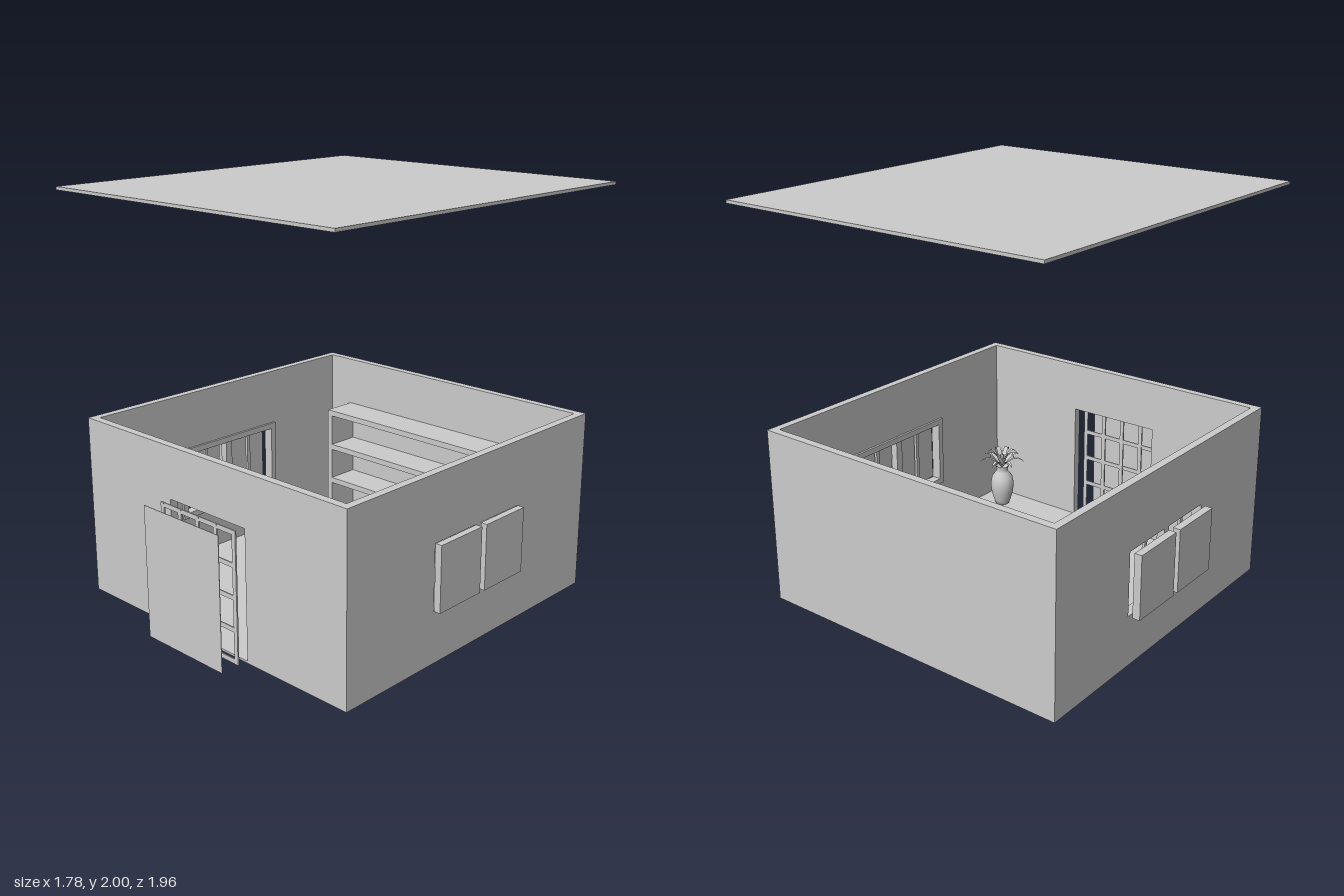
import * as THREE from 'three';

const material = new THREE.MeshStandardMaterial({ color: 0xcccccc });
const thin = new THREE.MeshStandardMaterial({ color: 0xcccccc, side: THREE.DoubleSide });

// Room extents
const X0 = -0.835, X1 = 0.855, Z0 = -0.865, Z1 = 0.83, H = 0.895, T = 0.04;
const WIN = { z0: -0.325, z1: 0.275, y0: 0.255, y1: 0.575 };
const DOOR = { x0: -0.235, x1: 0.26, y0: 0.01, y1: 0.64 };

// Box given by its minimum and maximum along each axis
function box(parent, name, x0, x1, y0, y1, z0, z1) {
  const mesh = new THREE.Mesh(new THREE.BoxGeometry(x1 - x0, y1 - y0, z1 - z0), material);
  mesh.position.set((x0 + x1) / 2, (y0 + y1) / 2, (z0 + z1) / 2);
  mesh.name = name;
  parent.add(mesh);
  return mesh;
}

function rectangle(Type, a0, a1, b0, b1) {
  const r = new Type();
  r.moveTo(a0, b0);
  r.lineTo(a1, b0);
  r.lineTo(a1, b1);
  r.lineTo(a0, b1);
  r.closePath();
  return r;
}

// Upright wall with one rectangular opening, drawn in x/y and extruded along z
function openWall(name, a0, a1, opening) {
  const shape = rectangle(THREE.Shape, a0, a1, 0, H);
  shape.holes.push(rectangle(THREE.Path, ...opening));
  const geometry = new THREE.ExtrudeGeometry(shape, { depth: T, bevelEnabled: false });
  const mesh = new THREE.Mesh(geometry, material);
  mesh.name = name;
  return mesh;
}

function buildRoom() {
  const room = new THREE.Group();
  room.name = 'room';
  box(room, 'floor', X0, X1, 0, 0.01, Z0, Z1);
  box(room, 'backWall', X0, X1, 0, H, Z0, Z0 + T);
  const front = openWall('frontWall', X0, X1, [DOOR.x0, DOOR.x1, DOOR.y0, DOOR.y1]);
  front.position.z = Z1 - T;
  room.add(front);
  // Turned a quarter so that the drawn x runs along -z
  for (const [name, x] of [['leftWall', X1 - T], ['rightWall', X0]]) {
    const wall = openWall(name, -Z1 + T, -Z0 - T, [-WIN.z1, -WIN.z0, WIN.y0, WIN.y1]);
    wall.rotation.y = Math.PI / 2;
    wall.position.x = x;
    room.add(wall);
  }
  return room;
}

// Inner trim, bars and the two outer panes of one side window
function buildWindow(side) {
  const g = new THREE.Group();
  g.name = side > 0 ? 'leftWindow' : 'rightWindow';
  const wall = side > 0 ? X1 : X0;
  const across = (name, d0, d1, y0, y1, z0, z1) => {
    const a = wall + side * d0, b = wall + side * d1;
    box(g, name, Math.min(a, b), Math.max(a, b), y0, y1, z0, z1);
  };
  const { z0, z1, y0, y1 } = WIN, w = 0.03, m = (z0 + z1) / 2;
  const trim = [-T - 0.012, -T];
  across('windowTrim', ...trim, y1, y1 + w, z0 - w, z1 + w);
  across('windowTrim', ...trim, y0 - w, y0, z0 - w, z1 + w);
  across('windowTrim', ...trim, y0, y1, z0 - w, z0);
  across('windowTrim', ...trim, y0, y1, z1, z1 + w);
  across('windowMullion', -T, -0.001, y0, y1, m - 0.02, m + 0.02);
  for (const z of [(z0 + m) / 2, (z1 + m) / 2]) {
    across('windowBar', -0.03, -0.015, y0, y1, z - 0.01, z + 0.01);
  }
  const out = side > 0 ? [0.002, 0.035] : [0.022, 0.06];
  across('windowPane', ...out, y0, y1, z0, -0.043);
  across('windowPane', ...out, y0, y1, -0.01, z1);
  return g;
}

// Door: a lattice and a thin panel standing in front of the doorway
function buildDoor() {
  const g = new THREE.Group();
  g.name = 'door';
  const { x0, x1, y0 } = DOOR, y1 = 0.645, n = 4, b = 0.022;
  const lattice = new THREE.Group();
  lattice.name = 'doorLattice';
  for (let i = 0; i <= n; i++) {
    const x = x0 + (x1 - x0 - b) * i / n;
    const y = y0 + (y1 - y0 - b) * i / n;
    box(lattice, 'latticePost', x, x + b, y0, y1, 0.878, 0.886);
    box(lattice, 'latticeRail', x0, x1, y, y + b, 0.879, 0.885);
  }
  g.add(lattice);
  box(g, 'doorPanel', x0, x1, y0, 0.655, 0.977, 0.98);
  return g;
}

// Shelf unit against the back wall
function buildShelves() {
  const g = new THREE.Group();
  g.name = 'shelfUnit';
  const x0 = -0.655, x1 = 0.67, z0 = Z0 + T, z1 = -0.64, t = 0.03, top = 0.64;
  box(g, 'shelfBack', x0, x1, 0.01, top, z0, z0 + 0.01);
  box(g, 'shelfSide', x0, x0 + t, 0.01, top, z0, z1);
  box(g, 'shelfSide', x1 - t, x1, 0.01, top, z0, z1);
  for (let i = 0; i < 4; i++) {
    const y = top - i * 0.197;
    box(g, 'shelfBoard', x0, x1, y - t, y, z0, z1);
  }
  return g;
}

// Curved leaf blade, built along +x and bending downwards
function leafGeometry(length, width, lift) {
  const geometry = new THREE.PlaneGeometry(1, 1, 8, 2);
  const p = geometry.attributes.position;
  for (let i = 0; i < p.count; i++) {
    const t = p.getX(i) + 0.5, s = p.getY(i) * 2;
    const half = width * (0.15 + Math.sin(Math.PI * t)) * (1 - t * 0.5);
    p.setXYZ(i, length * t, lift * Math.sin(t * 2.3) + Math.abs(s) * half * 0.4, s * half);
  }
  geometry.computeVertexNormals();
  return geometry;
}

// Potted plant in the front left corner
function buildPlant() {
  const g = new THREE.Group();
  g.name = 'plant';
  const profile = [[0, 0], [0.038, 0], [0.045, 0.02], [0.06, 0.07], [0.066, 0.12], [0.058, 0.165],
    [0.036, 0.195], [0.03, 0.21], [0.038, 0.23], [0.033, 0.23], [0.025, 0.21], [0, 0.2]];
  const vase = new THREE.Mesh(
    new THREE.LatheGeometry(profile.map(([r, y]) => new THREE.Vector2(r, y)), 32), thin);
  vase.name = 'vase';
  g.add(vase);
  for (let i = 0; i < 14; i++) {
    const inner = i % 2;
    const leaf = new THREE.Mesh(
      leafGeometry(inner ? 0.09 : 0.13, 0.015, inner ? 0.1 : 0.06), thin);
    leaf.name = 'leaf';
    leaf.position.y = 0.22;
    leaf.rotation.y = i * Math.PI * 2 / 14;
    g.add(leaf);
  }
  g.position.set(0.67, 0.01, 0.655);
  return g;
}

export function createModel() {
  const model = new THREE.Group();
  model.name = 'shopRoom';
  model.add(buildRoom(), buildWindow(1), buildWindow(-1), buildDoor(), buildShelves(), buildPlant());
  // Lifted roof slab
  box(model, 'roof', -0.855, 0.87, 1.985, 2, -0.98, 0.915);
  return model;
}
